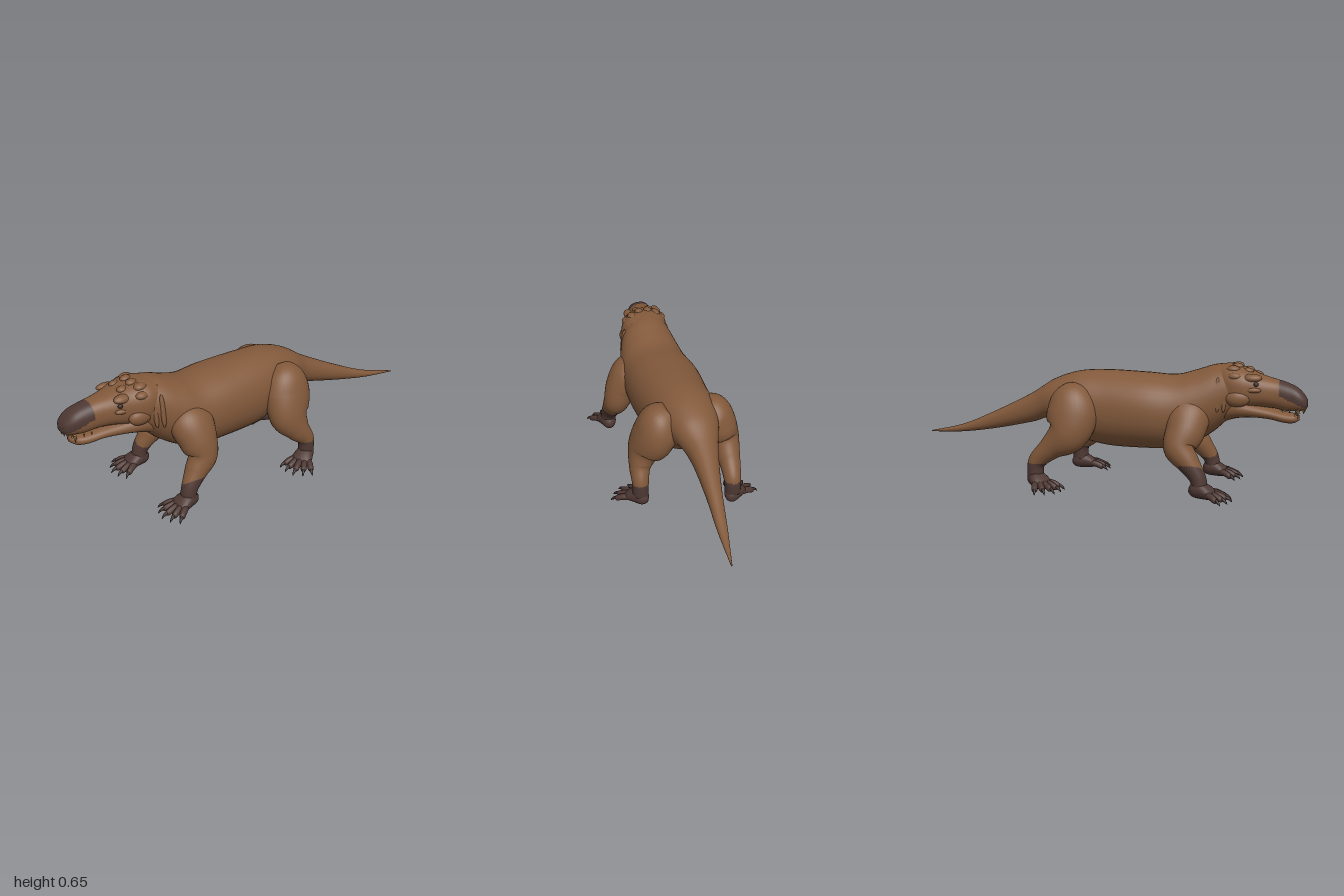
import * as THREE from 'three';

const material = (name, color) => {
  const m = new THREE.MeshStandardMaterial({ color });
  m.name = name;
  return m;
};

// Smooth skin swept through sections [x, y, z, half width, half depth].
// upright keeps every ring facing z; isDark(x, y, z) picks faces for the second material.
function sweep(sections, { rings = 40, sides = 28, power = 2, upright = false, isDark = null } = {}) {
  const path = new THREE.CatmullRomCurve3(sections.map(s => new THREE.Vector3(s[0], s[1], s[2])), false, 'catmullrom');
  const size = new THREE.CatmullRomCurve3(sections.map(s => new THREE.Vector3(s[3], s[4], 0)), false, 'catmullrom');
  const pos = [], lists = [[], []];
  const round = v => Math.sign(v) * Math.pow(Math.abs(v), 2 / power);
  for (let i = 0; i <= rings; i++) {
    const t = i / rings, c = path.getPoint(t), r = size.getPoint(t);
    const dir = upright ? new THREE.Vector3(0, 0, 1) : path.getTangent(t);
    const side = new THREE.Vector3(1, 0, 0).addScaledVector(dir, -dir.x).normalize();
    const up = dir.clone().cross(side);
    for (let j = 0; j < sides; j++) {
      const a = j / sides * Math.PI * 2;
      const p = c.clone().addScaledVector(side, round(Math.cos(a)) * Math.max(r.x, 0.001))
        .addScaledVector(up, round(Math.sin(a)) * Math.max(r.y, 0.001));
      pos.push(p.x, p.y, p.z);
    }
  }
  const first = pos.length / 3, last = first + 1;
  pos.push(...sections[0].slice(0, 3), ...sections[sections.length - 1].slice(0, 3));
  const face = (...v) => {
    const mid = k => (pos[v[0] * 3 + k] + pos[v[1] * 3 + k] + pos[v[2] * 3 + k]) / 3;
    lists[isDark && isDark(mid(0), mid(1), mid(2)) ? 1 : 0].push(...v);
  };
  for (let j = 0; j < sides; j++) {
    const k = (j + 1) % sides;
    for (let i = 0; i < rings; i++) {
      const a = i * sides + j, b = i * sides + k;
      face(a, b, b + sides);
      face(a, b + sides, a + sides);
    }
    face(first, k, j);
    face(last, rings * sides + j, rings * sides + k);
  }
  const g = new THREE.BufferGeometry();
  g.setAttribute('position', new THREE.Float32BufferAttribute(pos, 3));
  g.setIndex([...lists[0], ...lists[1]]);
  g.addGroup(0, lists[0].length, 0);
  if (lists[1].length) g.addGroup(lists[0].length, lists[1].length, 1);
  g.computeVertexNormals();
  return g;
}

export function createModel() {
  const hide = material('brown hide', 0x82593b);
  const dark = material('dark skin', 0x4e3833);
  const claw = material('claw', 0x392a27);
  const tooth = material('tooth', 0x94744f);
  const model = new THREE.Group();
  model.name = 'animal';

  const add = (parent, name, geometry, mat) => {
    const mesh = new THREE.Mesh(geometry, mat);
    mesh.name = name;
    parent.add(mesh);
    return mesh;
  };
  const ball = (parent, name, mat, p, s, rz = 0) => {
    const m = add(parent, name, new THREE.SphereGeometry(1, 20, 14), mat);
    m.position.set(...p);
    m.scale.set(...s);
    m.rotation.z = rz;
    return m;
  };

  // Tail, trunk and neck in one skin
  add(model, 'body', sweep([
    [0.08, 0.213, -1, 0.003, 0.003],
    [0.045, 0.247, -0.8, 0.025, 0.021],
    [0.013, 0.308, -0.6, 0.042, 0.048],
    [-0.015, 0.382, -0.4, 0.073, 0.076],
    [-0.02, 0.435, -0.28, 0.115, 0.1],
    [-0.02, 0.415, -0.15, 0.16, 0.165],
    [-0.015, 0.398, 0, 0.18, 0.192],
    [-0.022, 0.392, 0.2, 0.195, 0.192],
    [-0.022, 0.392, 0.35, 0.185, 0.185],
    [-0.022, 0.42, 0.45, 0.172, 0.182],
    [-0.03, 0.468, 0.55, 0.148, 0.166],
    [-0.045, 0.512, 0.64, 0.118, 0.126],
    [-0.055, 0.51, 0.71, 0.08, 0.09],
  ], { rings: 96, sides: 40, power: 2.15, upright: true }), hide);

  // Head, turned a little towards its right
  const head = new THREE.Group();
  head.name = 'head';
  model.add(head);
  const hx = z => -0.055 - 0.2 * (z - 0.7);
  const profile = rows => rows.map(([z, top, bottom, half]) => [hx(z), (top + bottom) / 2, z, half, (top - bottom) / 2]);
  add(head, 'skull', sweep(profile([
    [0.56, 0.632, 0.43, 0.11],
    [0.62, 0.642, 0.425, 0.128],
    [0.68, 0.632, 0.425, 0.124],
    [0.73, 0.615, 0.432, 0.106],
    [0.78, 0.594, 0.438, 0.088],
    [0.84, 0.578, 0.435, 0.071],
    [0.9, 0.562, 0.425, 0.065],
    [0.95, 0.54, 0.428, 0.06],
    [0.985, 0.507, 0.435, 0.044],
    [1, 0.48, 0.45, 0.018],
  ]), { rings: 100, sides: 56, power: 2.4, upright: true,
    isDark: (x, y, z) => z > 0.862 && y > 0.442 + (1 - z) * 0.45 }), [hide, dark]);
  add(head, 'lowerJaw', sweep(profile([
    [0.58, 0.5, 0.345, 0.1],
    [0.66, 0.485, 0.375, 0.11],
    [0.74, 0.46, 0.384, 0.092],
    [0.82, 0.437, 0.38, 0.069],
    [0.89, 0.42, 0.367, 0.058],
    [0.935, 0.414, 0.368, 0.046],
    [0.962, 0.406, 0.382, 0.018],
  ]), { rings: 48, power: 2.3, upright: true }), hide);

  for (const s of [-1, 1]) {
    ball(head, 'cheek', hide, [hx(0.67) + s * 0.102, 0.485, 0.665], [0.034, 0.042, 0.062]);
    ball(head, 'browRidge', hide, [hx(0.74) + s * 0.08, 0.586, 0.735], [0.025, 0.018, 0.045], -s * 0.4);
    ball(head, 'cheekbone', hide, [hx(0.75) + s * 0.088, 0.528, 0.735], [0.02, 0.015, 0.045]);
    ball(head, 'eye', claw, [hx(0.75) + s * 0.09, 0.556, 0.752], [0.011, 0.011, 0.013]);
    ball(head, 'nostril', claw, [hx(0.985) + s * 0.024, 0.477, 0.985], [0.011, 0.008, 0.011]);
    // Bumps over the crown and the folds behind the jaw
    for (const [dx, y, z, r] of [[0.025, 0.632, 0.66, 0.022], [0.065, 0.62, 0.64, 0.026], [0.035, 0.612, 0.71, 0.022], [0.095, 0.59, 0.65, 0.027]])
      ball(head, 'crownBump', hide, [hx(z) + s * dx, y, z], [r, r * 0.75, r * 1.3]);
    for (const [z, x] of [[0.6, 0.117], [0.57, 0.128]])
      ball(head, 'neckFold', hide, [hx(z) + s * x, 0.5, z], [0.014, 0.085, 0.014], s * 0.12);
    // Upper teeth, with a long fang near the front
    for (const [z, dx, len] of [[0.986, 0.012, 0.018], [0.98, 0.03, 0.022], [0.955, 0.05, 0.042], [0.915, 0.056, 0.018], [0.88, 0.058, 0.015]]) {
      const t = add(head, 'upperTooth', new THREE.ConeGeometry(len * 0.14 + 0.003, len, 10), tooth);
      t.rotation.x = Math.PI;
      t.position.set(hx(z) + s * dx, 0.438 - len / 2, z);
    }
    for (const [z, dx] of [[0.95, 0.012], [0.943, 0.03]])
      add(head, 'lowerTooth', new THREE.ConeGeometry(0.006, 0.022, 10), tooth).position.set(hx(z) + s * dx, 0.416, z);
  }

  // Broad foot with five spread toes and claws; its ankle stands over the group origin
  const foot = (name, x, z, yaw) => {
    const g = new THREE.Group();
    g.name = name;
    g.position.set(x, 0, z);
    g.rotation.y = yaw;
    model.add(g);
    add(g, 'sole', sweep([
      [0, 0.045, -0.045, 0.012, 0.014],
      [0, 0.052, -0.025, 0.034, 0.038],
      [0, 0.052, 0.01, 0.045, 0.044],
      [0, 0.04, 0.055, 0.054, 0.033],
      [0, 0.028, 0.09, 0.046, 0.016],
    ], { rings: 20, sides: 20, upright: true }), dark);
    for (let k = -2; k <= 2; k++) {
      const angle = k * 0.31, reach = 1 - Math.abs(k) * 0.035;
      const at = (d, y, a, b = a) => [Math.sin(angle) * d * reach, y, Math.cos(angle) * d * reach, a, b];
      add(g, 'toe', sweep([at(0.04, 0.036, 0.016), at(0.08, 0.036, 0.017), at(0.11, 0.03, 0.016), at(0.132, 0.021, 0.014), at(0.143, 0.018, 0.006)],
        { rings: 14, sides: 12 }), dark);
      add(g, 'claw', sweep([at(0.128, 0.025, 0.009), at(0.145, 0.022, 0.008), at(0.16, 0.012, 0.005), at(0.168, 0.003, 0.001)],
        { rings: 8, sides: 10 }), claw);
    }
  };
  const leg = (name, sections, isDark) => add(model, name, sweep(sections, { rings: 72, sides: 32, isDark }), [hide, dark]);

  // Front legs; the right one stands a little wider and further back
  for (const [s, dx, dz, label] of [[1, 0, 0, 'left'], [-1, 0.042, -0.02, 'right']]) {
    leg(label + 'FrontLeg', [
      [s * 0.07, 0.46, 0.42, 0.06, 0.07],
      [s * (0.115 + dx * 0.3), 0.4, 0.425, 0.088, 0.11],
      [s * (0.16 + dx * 0.5), 0.32, 0.418, 0.085, 0.098],
      [s * (0.19 + dx * 0.8), 0.245, 0.415 + dz, 0.07, 0.076],
      [s * (0.2 + dx), 0.18, 0.462 + dz, 0.057, 0.056],
      [s * (0.212 + dx), 0.115, 0.508 + dz, 0.043, 0.042],
      [s * (0.215 + dx), 0.06, 0.525 + dz, 0.04, 0.038],
    ], (x, y) => y < 0.12 + (Math.abs(x) - 0.18 - dx * 0.6) * 0.6);
    foot(label + 'FrontFoot', s * (0.215 + dx), 0.515 + dz, s > 0 ? 0.03 : -0.12);
  }

  // Hind legs in mid stride: left forward, right pushing off
  const hindDark = (x, y) => y < 0.135;
  leg('leftHindLeg', [
    [0.07, 0.5, -0.16, 0.06, 0.06],
    [0.115, 0.45, -0.155, 0.105, 0.112],
    [0.155, 0.37, -0.145, 0.105, 0.13],
    [0.2, 0.28, -0.125, 0.085, 0.108],
    [0.235, 0.205, -0.155, 0.056, 0.068],
    [0.248, 0.14, -0.2, 0.043, 0.045],
    [0.25, 0.06, -0.205, 0.04, 0.04],
  ], hindDark);
  foot('leftHindFoot', 0.25, -0.205, 0.45);
  leg('rightHindLeg', [
    [-0.09, 0.5, -0.16, 0.06, 0.06],
    [-0.13, 0.45, -0.155, 0.105, 0.112],
    [-0.17, 0.37, -0.15, 0.105, 0.13],
    [-0.205, 0.285, -0.17, 0.082, 0.105],
    [-0.208, 0.215, -0.25, 0.058, 0.062],
    [-0.2, 0.14, -0.325, 0.044, 0.045],
    [-0.2, 0.06, -0.335, 0.04, 0.04],
  ], hindDark);
  foot('rightHindFoot', -0.2, -0.335, -0.72);

  return model;
}
